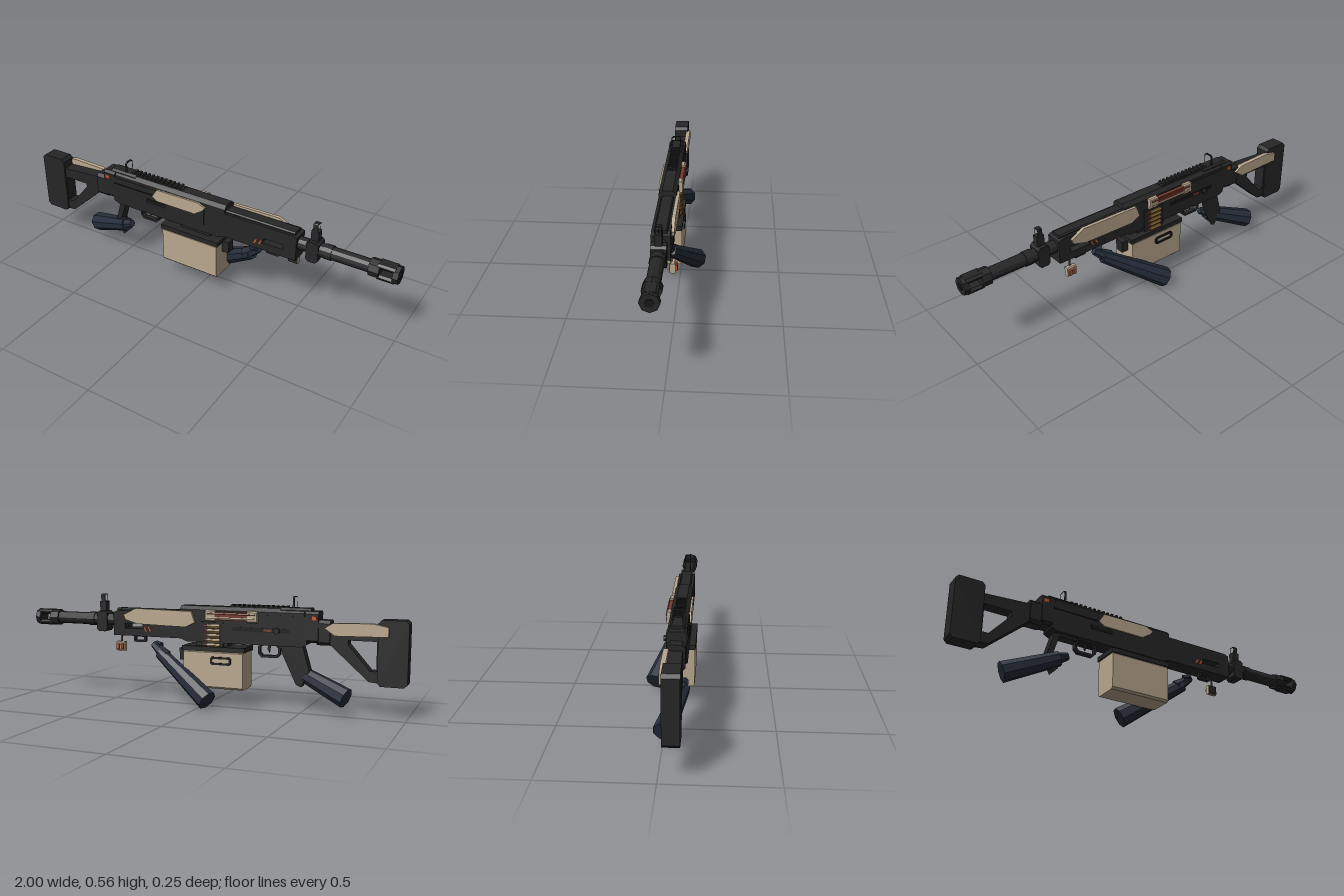
import * as THREE from 'three';

const mat = (name, color) => new THREE.MeshStandardMaterial({ name, color, flatShading: true });

export function createModel() {
  const root = new THREE.Group();
  root.name = 'lightSupportGun';
  const metal = mat('gunmetal', 0x262626), black = mat('black', 0x161616), tan = mat('tan', 0xb9a78e),
    navy = mat('navy', 0x262e3b), rust = mat('rust', 0x74392a), brass = mat('brass', 0x8a6a36),
    orange = mat('orange', 0xc2562c);
  const ZC = 0.055, YB = 0.412; // gun centre plane and bore height

  const add = (name, geo, m, parent = root) => {
    const mesh = new THREE.Mesh(geo, m);
    mesh.name = name;
    parent.add(mesh);
    return mesh;
  };
  const outline = (pts, holes = []) => {
    const s = new THREE.Shape(pts.map(p => new THREE.Vector2(...p)));
    holes.forEach(h => s.holes.push(new THREE.Path(h.map(p => new THREE.Vector2(...p)))));
    return s;
  };
  // side profile in x,y given thickness from z0 to z1
  const plate = (name, pts, z0, z1, m, holes) => add(name,
    new THREE.ExtrudeGeometry(outline(pts, holes), { depth: z1 - z0, bevelEnabled: false }).translate(0, 0, z0), m);
  // cross-section in z,y swept along x
  const sweep = (name, pts, x0, x1, m, holes = []) => {
    const flip = l => l.map(([z, y]) => [-z, y]);
    const g = new THREE.ExtrudeGeometry(outline(flip(pts), holes.map(flip)), { depth: x1 - x0, bevelEnabled: false });
    return add(name, g.rotateY(Math.PI / 2).translate(x0, 0, 0), m);
  };
  const chamfer = (a0, a1, b0, b1, c) => [[a0 + c, b0], [a1 - c, b0], [a1, b0 + c], [a1, b1 - c],
    [a1 - c, b1], [a0 + c, b1], [a0, b1 - c], [a0, b0 + c]];
  const bar = (name, x0, x1, y0, y1, z0, z1, m, c = 0.006) => sweep(name, chamfer(z0, z1, y0, y1, c), x0, x1, m);
  const box = (name, x0, x1, y0, y1, z0, z1, m) => add(name, new THREE.BoxGeometry(x1 - x0, y1 - y0, z1 - z0)
    .translate((x0 + x1) / 2, (y0 + y1) / 2, (z0 + z1) / 2), m);
  const limb = (name, a, b, ra, rb, m, sides = 8) => {
    const A = new THREE.Vector3(...a), B = new THREE.Vector3(...b), d = B.clone().sub(A);
    const mesh = add(name, new THREE.CylinderGeometry(rb, ra, d.length(), sides), m);
    mesh.position.copy(A).add(B).multiplyScalar(0.5);
    mesh.quaternion.setFromUnitVectors(new THREE.Vector3(0, 1, 0), d.normalize());
    return mesh;
  };
  const tube = (name, x0, x1, r, m = metal, sides = 12) => limb(name, [x0, YB, ZC], [x1, YB, ZC], r, r, m, sides);

  // Shoulder stock
  plate('buttPad', chamfer(-1, -0.86, 0.157, 0.467, 0.015), 0.018, 0.092, metal);
  plate('stockFrame', [[-0.87, 0.17], [-0.82, 0.175], [-0.64, 0.335], [-0.6, 0.345], [-0.6, 0.43], [-0.66, 0.43], [-0.87, 0.415]],
    0.025, 0.085, metal, [[[-0.855, 0.225], [-0.855, 0.365], [-0.72, 0.365], [-0.72, 0.345], [-0.825, 0.225]]]);
  plate('cheekPanel', [[-0.91, 0.39], [-0.66, 0.385], [-0.61, 0.42], [-0.65, 0.445], [-0.84, 0.45], [-0.91, 0.435]], 0.004, 0.026, tan);
  bar('stockCollar', -0.635, -0.57, 0.335, 0.455, 0.015, 0.095, metal, 0.015);
  bar('stockHinge', -0.58, -0.515, 0.345, 0.495, 0.01, 0.1, metal, 0.012);
  for (const z of [0.0085, 0.1]) box('orangeButton', -0.572, -0.55, 0.455, 0.472, z, z + 0.002, orange);

  // Receiver and top cover
  plate('receiver', [[-0.525, 0.335], [-0.5, 0.322], [0.02, 0.322], [0.02, 0.47], [-0.525, 0.47]], 0.01, 0.1, metal);
  bar('topCover', -0.51, 0.135, 0.44, 0.502, 0.012, 0.098, metal, 0.018);
  bar('coverRearStep', -0.54, -0.39, 0.46, 0.508, 0.022, 0.088, metal, 0.01);
  box('rail', -0.42, -0.12, 0.5, 0.506, 0.035, 0.075, metal);
  for (let i = 0; i < 12; i++) box('railTooth', -0.42 + i * 0.025, -0.408 + i * 0.025, 0.505, 0.514, 0.033, 0.077, metal);
  plate('sideCoverPanel', [[-0.28, 0.435], [-0.25, 0.48], [-0.01, 0.483], [0.03, 0.465], [0.015, 0.445], [-0.03, 0.415], [-0.25, 0.415]],
    0.095, 0.107, tan);
  box('sideSeam', -0.52, -0.28, 0.434, 0.44, 0.1, 0.103, black);
  box('sideSlot', -0.32, -0.2, 0.385, 0.408, 0.1, 0.102, black);

  // Handguard
  plate('handguard', [[0.0, 0.322], [0.1, 0.322], [0.13, 0.335], [0.515, 0.335], [0.515, 0.455], [0.49, 0.465], [0, 0.465]],
    0.012, 0.098, metal, [[[0.34, 0.374], [0.45, 0.374], [0.45, 0.4], [0.35, 0.4]]]);
  bar('handguardTop', 0.12, 0.5, 0.455, 0.476, 0.025, 0.085, metal);
  plate('handguardPanel', [[0.05, 0.42], [0.07, 0.475], [0.38, 0.48], [0.45, 0.445], [0.44, 0.42], [0.37, 0.4], [0.1, 0.395]],
    -0.001, 0.016, tan);
  for (const z of [0.0095, 0.098]) for (const x of [0.295, 0.32])
    plate('orangeMark', [[x, 0.362], [x + 0.009, 0.362], [x + 0.021, 0.385], [x + 0.012, 0.385]], z, z + 0.0025, orange);
  plate('slingLoop', chamfer(0.345, 0.415, 0.3, 0.338, 0.006), 0.045, 0.065, metal,
    [[[0.355, 0.31], [0.405, 0.31], [0.405, 0.328], [0.355, 0.328]]]);

  // Barrel, sight block and muzzle brake
  tube('barrel', 0.48, 0.88, 0.032);
  tube('barrelRing', 0.64, 0.68, 0.036);
  plate('gasBlock', chamfer(0.56, 0.62, 0.35, 0.457, 0.012), 0.02, 0.09, metal);
  box('frontSightBase', 0.572, 0.61, 0.45, 0.508, 0.039, 0.071, metal);
  sweep('frontSightHood', chamfer(0.039, 0.071, 0.5, 0.546, 0.005), 0.58, 0.603, metal,
    [[[0.043, 0.505], [0.067, 0.505], [0.067, 0.541], [0.043, 0.541]]]);
  limb('frontSightPost', [0.591, 0.505, ZC], [0.591, 0.533, ZC], 0.003, 0.001, metal, 5);
  tube('muzzleCollar', 0.86, 0.91, 0.043, metal, 8);
  for (const s of [-1, 1]) {
    const y = YB + s * 0.028;
    bar('brakeRib', 0.9, 0.98, y - 0.013, y + 0.013, 0.022, 0.088, metal, 0.01);
  }
  tube('muzzleEnd', 0.972, 0.998, 0.043, metal, 8);
  tube('bore', 0.99, 1, 0.02, black, 6);

  // Rear sight loop
  sweep('rearSight', chamfer(0.03, 0.08, 0.5, 0.563, 0.008), -0.457, -0.448, metal,
    [chamfer(0.035, 0.075, 0.505, 0.558, 0.006)]);

  // Loading side: feed belt, side cover and bolt handle
  box('feedFrame', -0.1, 0.015, 0.29, 0.425, 0.005, 0.02, metal);
  for (let i = 0; i < 5; i++) {
    const y = 0.31 + i * 0.024;
    limb('cartridge', [-0.085, y, 0.004], [-0.02, y, 0.004], 0.01, 0.01, brass, 6);
    limb('cartridgeTip', [-0.02, y, 0.004], [0.005, y, 0.004], 0.008, 0.002, rust, 6);
  }
  box('feedCoverBar', -0.25, -0.05, 0.438, 0.478, -0.006, 0.018, rust);
  for (const x of [-0.28, -0.06]) bar('feedCoverClamp', x, x + 0.05, 0.43, 0.487, -0.008, 0.018, tan);
  for (const y of [0.448, 0.469]) limb('feedCoverRod', [-0.27, y, -0.007], [-0.02, y, -0.007], 0.005, 0.005, y < 0.46 ? tan : rust, 6);
  box('boltSlot', -0.44, -0.15, 0.386, 0.406, 0.008, 0.0105, black);
  limb('boltHandle', [-0.38, 0.396, 0.02], [-0.38, 0.396, 0], 0.008, 0.008, metal, 6);
  limb('boltKnob', [-0.38, 0.396, 0], [-0.38, 0.396, -0.013], 0.015, 0.015, metal, 8);
  box('boltMark', -0.35, -0.31, 0.39, 0.402, 0.007, 0.009, rust);

  // Ammunition box
  bar('ammoBox', -0.21, 0.105, 0.093, 0.285, -0.011, 0.123, tan, 0.01);
  box('ammoLid', -0.217, 0.112, 0.28, 0.304, -0.013, 0.126, metal);
  box('ammoMount', -0.12, 0.05, 0.3, 0.33, 0.02, 0.09, metal);
  box('ammoLatch', 0.1, 0.143, 0.225, 0.285, 0.025, 0.07, metal);
  plate('ammoHandle', chamfer(-0.15, -0.04, 0.215, 0.255, 0.008), -0.017, -0.01, black, [chamfer(-0.14, -0.05, 0.225, 0.245, 0.004)]);

  // Trigger group and pistol grip
  plate('triggerGuard', chamfer(-0.385, -0.27, 0.258, 0.33, 0.018), 0.043, 0.067, metal, [chamfer(-0.374, -0.281, 0.27, 0.318, 0.012)]);
  plate('trigger', [[-0.335, 0.325], [-0.32, 0.325], [-0.318, 0.3], [-0.328, 0.28], [-0.33, 0.3]], 0.05, 0.06, metal);
  plate('gripBack', [[-0.5, 0.325], [-0.47, 0.325], [-0.505, 0.21], [-0.475, 0.145], [-0.495, 0.125], [-0.535, 0.205]], 0.03, 0.08, metal);
  const skin = new THREE.ShapeGeometry(outline([[-0.49, 0.325], [-0.39, 0.325], [-0.4, 0.28], [-0.47, 0.135], [-0.495, 0.125], [-0.535, 0.205]]));
  skin.setIndex(Array.from(skin.index.array).reverse());
  add('gripSide', skin.translate(0, 0, 0.03), metal);
  plate('gripTop', [[-0.5, 0.31], [-0.38, 0.31], [-0.38, 0.33], [-0.5, 0.33]], 0.03, 0.08, metal);

  // Sleeved arms
  limb('rearHand', [-0.43, 0.215, 0.085], [-0.5, 0.185, 0.07], 0.018, 0.034, navy, 6);
  limb('rearSleeve', [-0.47, 0.195, 0.077], [-0.72, 0.092, 0.008], 0.036, 0.05, navy);
  limb('frontHand', [0.3, 0.295, 0.045], [0.22, 0.235, 0.028], 0.018, 0.034, navy, 6);
  limb('frontThumb', [0.255, 0.29, 0.045], [0.29, 0.3, 0.06], 0.016, 0.012, navy, 6);
  limb('frontSleeve', [0.255, 0.25, 0.035], [-0.05, 0.045, -0.078], 0.032, 0.052, navy);

  // Hanging charm
  box('charmStrap', 0.462, 0.47, 0.3, 0.34, 0.006, 0.011, rust);
  bar('charmBody', 0.44, 0.49, 0.257, 0.306, -0.008, 0.016, tan, 0.005);
  box('charmBack', 0.442, 0.488, 0.26, 0.303, 0.015, 0.018, metal);
  for (const x of [0.446, 0.47]) box('charmFace', x, x + 0.014, 0.266, 0.294, -0.017, -0.008, orange);
  return root;
}
